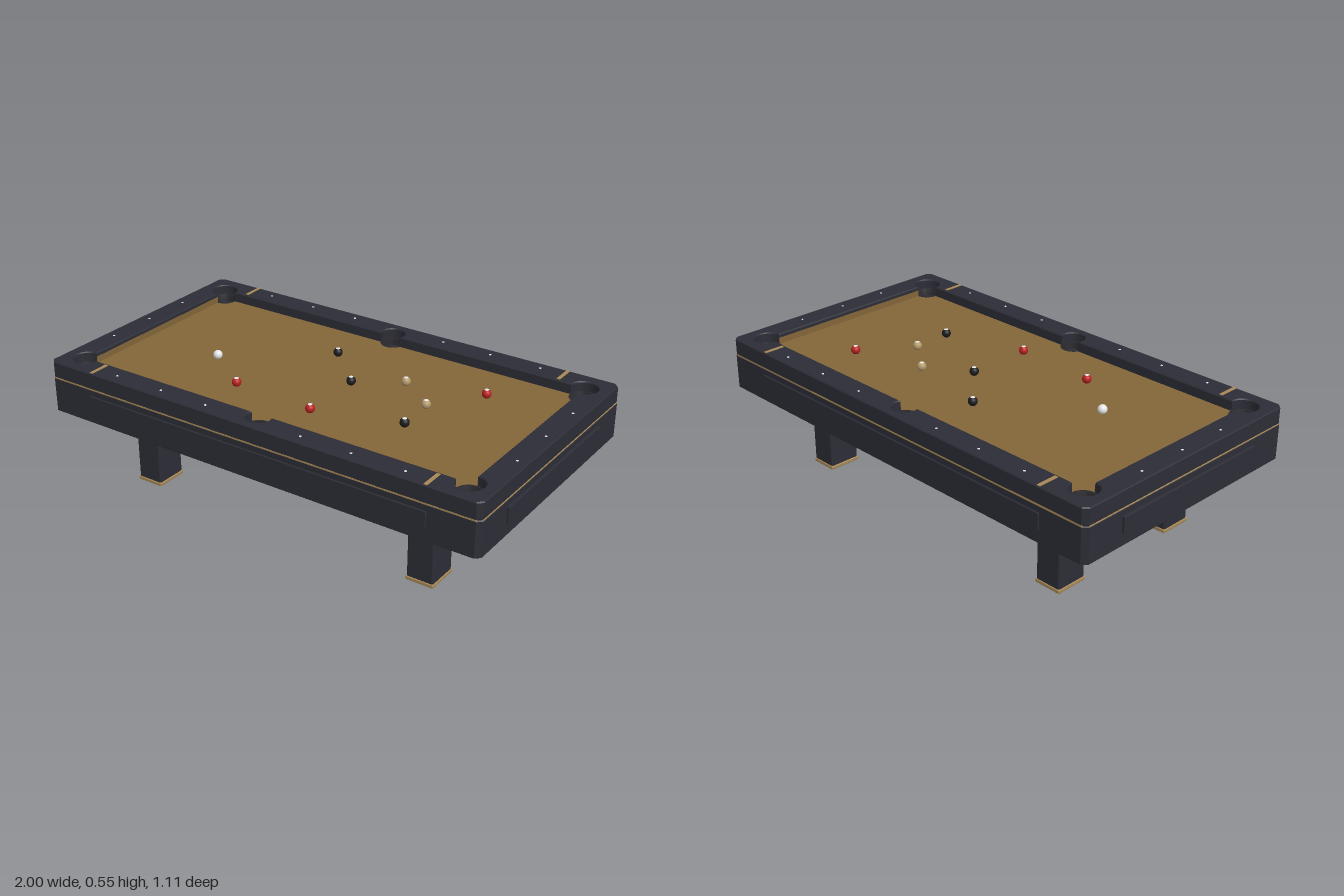
import * as THREE from 'three';
import { toCreasedNormals } from 'three/addons/utils/BufferGeometryUtils.js';
import { RoundedBoxGeometry } from 'three/addons/geometries/RoundedBoxGeometry.js';

const mat = (name, color, side = THREE.FrontSide) => {
  const m = new THREE.MeshStandardMaterial({ color, side });
  m.name = name;
  return m;
};

// Play area half sizes, pocket radii and main heights
const PX = 0.885, PZ = 0.445, CORNER_R = 0.055, SIDE_R = 0.05, SIDE_Z = 0.465;
const CLOTH_Y = 0.5, RAIL_TOP = 0.543;

// Play area outline; pocket arcs bulge outward, or bite inward when clockwise
function pocketOutline(path, clockwise) {
  const q = Math.PI / 2;
  const a = Math.asin((SIDE_Z - PZ) / SIDE_R);
  const corner = (x, y, start) => path.absarc(x, y, CORNER_R, start, start + 3 * q, clockwise);
  path.moveTo(PX, -PZ + CORNER_R);
  corner(PX, PZ, -q);
  path.absarc(0, SIDE_Z, SIDE_R, -a, Math.PI + a, clockwise);
  corner(-PX, PZ, 0);
  corner(-PX, -PZ, q);
  path.absarc(0, -SIDE_Z, SIDE_R, Math.PI - a, 2 * Math.PI + a, clockwise);
  corner(PX, -PZ, 2 * q);
  path.closePath();
  return path;
}

// Rectangle with corners cut by c
function cutRect(path, hx, hy, c) {
  for (const [sx, sy] of [[1, 1], [-1, 1], [-1, -1], [1, -1]]) {
    const ends = [[sx * hx, sy * (hy - c)], [sx * (hx - c), sy * hy]];
    if (sx * sy < 0) ends.reverse();
    for (const [x, y] of ends) path.currentPoint.lengthSq() ? path.lineTo(x, y) : path.moveTo(x, y);
  }
  path.closePath();
  return path;
}

// Extrude a plan shape upward between two heights
function slab(shape, y0, y1, bevel = 0) {
  const g = new THREE.ExtrudeGeometry(shape, {
    depth: y1 - y0 - 2 * bevel, bevelEnabled: bevel > 0, bevelThickness: bevel,
    bevelSize: bevel, bevelOffset: -bevel, bevelSegments: 1, curveSegments: 24,
  });
  g.rotateX(-Math.PI / 2).translate(0, y0 + bevel, 0);
  return toCreasedNormals(g, 0.3);
}

function frame(hx, hz, hole, y0, y1) {
  const s = cutRect(new THREE.Shape(), hx, hz, 0.02);
  s.holes.push(hole);
  return slab(s, y0, y1, 0.004);
}

export function createModel() {
  const group = new THREE.Group();
  group.name = 'poolTable';
  const wood = mat('charcoalWood', 0x2d2d37);
  const cloth = mat('ochreCloth', 0x836639);
  const gold = mat('brass', 0xa88856);
  const pocketMat = mat('pocketLining', 0x2a2a2f, THREE.DoubleSide);
  const white = mat('white', 0xe4e6e8);
  const red = mat('red', 0xb82020);
  const black = mat('black', 0x1c1c1e);
  const tan = mat('tan', 0xb39a6c);

  const add = (name, geo, material, x = 0, y = 0, z = 0, parent = group) => {
    const m = new THREE.Mesh(geo, material);
    m.name = name;
    m.position.set(x, y, z);
    parent.add(m);
    return m;
  };

  // Body: open apron, pocketed rails and a thin bed
  add('apron', frame(0.99, 0.55, cutRect(new THREE.Path(), 0.9, 0.46, 0.001), 0.322, 0.472), wood);
  add('rails', frame(0.988, 0.549, pocketOutline(new THREE.Path(), false), 0.472, RAIL_TOP), wood);
  add('bed', slab(pocketOutline(new THREE.Shape(), true), 0.465, CLOTH_Y), cloth);

  for (const s of [-1, 1]) {
    // Brass seam strips
    add('sideSeam', new THREE.BoxGeometry(1.94, 0.006, 0.006), gold, 0, 0.472, s * 0.5465);
    add('endSeam', new THREE.BoxGeometry(0.006, 0.003, 1.06), gold, s * 0.9865, 0.472, 0);
    // Cloth facing on the end rails
    add('endCushion', new THREE.BoxGeometry(0.003, 0.026, 2 * (PZ - CORNER_R)), cloth,
      s * PX, CLOTH_Y + 0.013, 0);
    // Raised apron panels
    add('sidePanel', new RoundedBoxGeometry(1.56, 0.07, 0.016, 2, 0.003), wood, 0, 0.41, s * 0.548);
    add('endPanel', new RoundedBoxGeometry(0.02, 0.07, 0.73, 2, 0.003), wood, s * 0.99, 0.41, 0);
  }

  // Pocket cups hanging under the bed
  const cup = (r) => toCreasedNormals(new THREE.LatheGeometry([
    [0, 0.405], [0.043, 0.405], [0.043, 0.465], [r + 0.002, 0.466], [r + 0.002, CLOTH_Y + 0.002],
    [r - 0.005, CLOTH_Y + 0.002], [0.04, 0.465], [0.04, 0.42], [0, 0.42],
  ].map(([x, y]) => new THREE.Vector2(x, y)), 28), 0.5);
  const cornerCup = cup(CORNER_R);
  const sideCup = cup(SIDE_R);
  for (const z of [-1, 1]) {
    for (const x of [-1, 1]) add('cornerPocket', cornerCup, pocketMat, x * PX, 0, z * PZ);
    add('sidePocket', sideCup, pocketMat, 0, 0, z * SIDE_Z);
  }

  // Sight dots and brass bands on the rails
  const dot = new THREE.CylinderGeometry(0.005, 0.005, 0.004, 12);
  for (const s of [-1, 1]) {
    for (const x of [-0.665, -0.44, -0.22, 0.22, 0.44, 0.665]) {
      add('sight', dot, white, x, RAIL_TOP, s * 0.505);
    }
    for (const z of [-0.22, 0, 0.22]) add('sight', dot, white, s * 0.945, RAIL_TOP - 0.001, z);
    for (const t of [-1, 1]) {
      add('railBand', new THREE.BoxGeometry(0.015, 0.004, 0.09), gold, s * 0.768, RAIL_TOP, t * 0.5);
    }
  }

  // Legs with brass feet
  const leg = new RoundedBoxGeometry(0.114, 0.35, 0.137, 2, 0.008);
  const foot = new RoundedBoxGeometry(0.12, 0.017, 0.143, 2, 0.005);
  for (const x of [-0.656, 0.656]) {
    for (const z of [-0.3, 0.3]) {
      add('leg', leg, wood, x, 0.185, z);
      add('foot', foot, gold, x, 0.0085, z);
    }
  }

  // Balls, each numbered ball carrying a white spot
  const R = 0.019;
  const sphere = new THREE.SphereGeometry(R, 24, 16);
  const spot = new THREE.SphereGeometry(R + 0.0004, 16, 4, 0, Math.PI * 2, 0, 0.52);
  const balls = [
    [white, -0.503, 0.08], [red, -0.28, 0.24], [red, 0.09, 0.262], [red, 0.578, -0.228],
    [black, -0.112, -0.22], [black, 0.083, -0.026], [black, 0.445, 0.157],
    [tan, 0.264, -0.144], [tan, 0.432, -0.018],
  ];
  for (const [material, x, z] of balls) {
    const b = add('ball', sphere, material, x, CLOTH_Y + R, z);
    if (material !== white) add('ballSpot', spot, white, 0, 0, 0, b);
  }
  return group;
}
